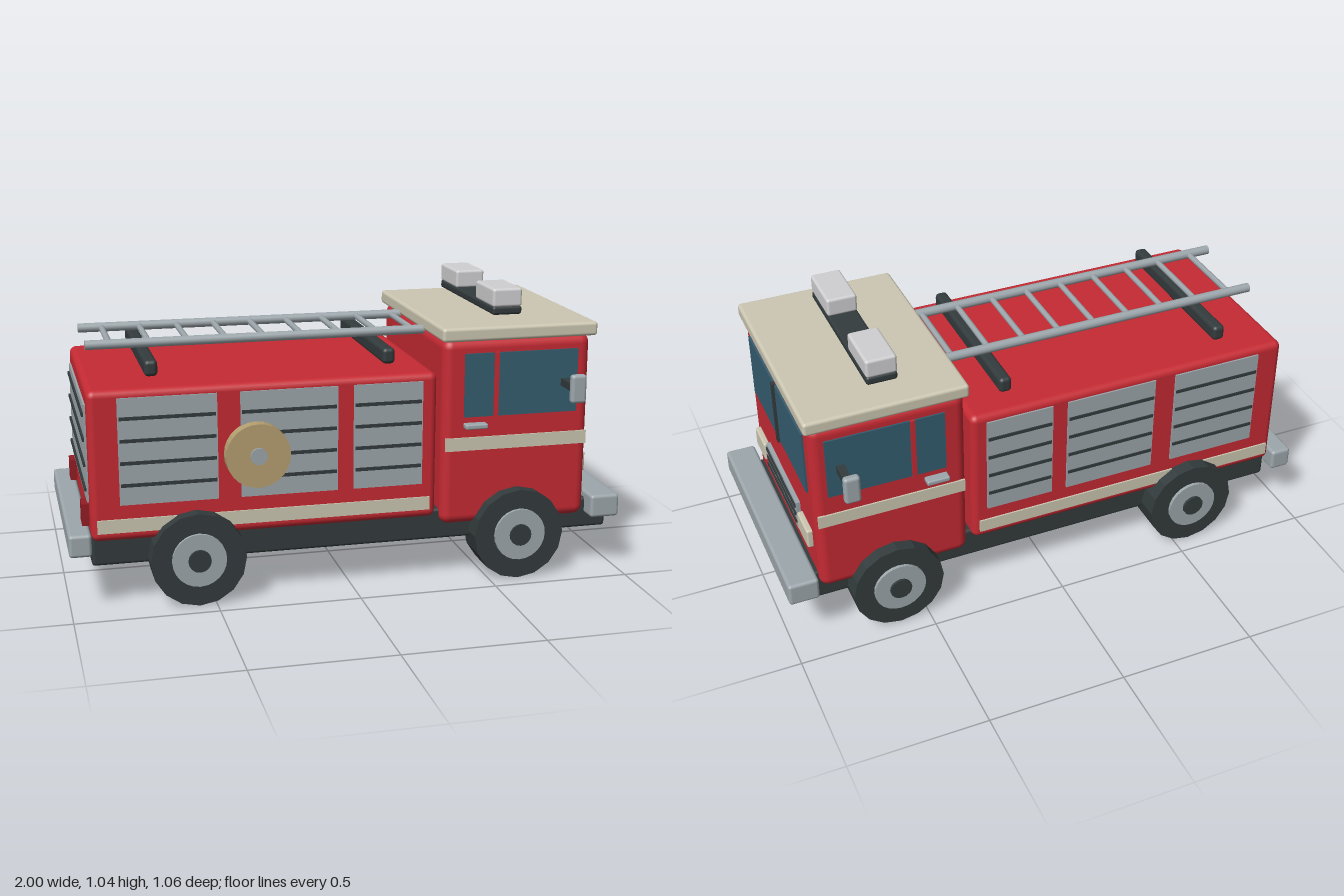
import * as THREE from 'three';
import { RoundedBoxGeometry } from 'three/addons/geometries/RoundedBoxGeometry.js';

const paint = (name, color) => {
  const m = new THREE.MeshStandardMaterial({ color });
  m.name = name;
  return m;
};

export function createModel() {
  const red = paint('red paint', 0xc62a33), cream = paint('cream paint', 0xccc7b2);
  const dark = paint('dark rubber', 0x333b3c), metal = paint('grey metal', 0x9da7ac);
  const glass = paint('blue glass', 0x345d70), lamp = paint('pale lamp', 0xd0d0d2);
  const tan = paint('tan hose', 0xb59f70), tail = paint('tail lamp red', 0x941c24);

  const truck = new THREE.Group();
  truck.name = 'fireTruck';

  const add = (parent, name, geometry, material) => {
    const mesh = new THREE.Mesh(geometry, material);
    mesh.name = name;
    parent.add(mesh);
    return mesh;
  };
  // Box given by its extents; a radius rounds the edges
  const box = (parent, name, mat, [x0, x1], [y0, y1], [z0, z1], r = 0) => {
    const s = [x1 - x0, y1 - y0, z1 - z0];
    const g = r ? new RoundedBoxGeometry(...s, 3, r) : new THREE.BoxGeometry(...s);
    add(parent, name, g, mat).position.set((x0 + x1) / 2, (y0 + y1) / 2, (z0 + z1) / 2);
  };
  // Span along z on one side of the truck
  const side = (s, a, b) => (s > 0 ? [a, b] : [-b, -a]);
  // Disc with its axis along z, spanning a..b outwards
  const disc = (parent, name, mat, x, y, s, a, b, r, n) => {
    const g = new THREE.CylinderGeometry(r, r, b - a, n).toNonIndexed();
    g.computeVertexNormals();
    g.rotateX(Math.PI / 2);
    add(parent, name, g, mat).position.set(x, y, s * (a + b) / 2);
  };

  // Main masses
  box(truck, 'chassis', dark, [-0.92, 0.975], [0.145, 0.26], [-0.355, 0.355], 0.012);
  box(truck, 'equipmentBody', red, [-0.92, 0.305], [0.24, 0.772], [-0.385, 0.385], 0.025);
  box(truck, 'cab', red, [0.325, 0.875], [0.205, 0.885], [-0.388, 0.388], 0.035);
  box(truck, 'cabRoof', cream, [0.315, 0.892], [0.88, 0.93], [-0.405, 0.405], 0.012);
  box(truck, 'frontBumper', metal, [0.89, 1.0], [0.2, 0.285], [-0.42, 0.42], 0.012);
  box(truck, 'rearBumper', metal, [-1.0, -0.922], [0.2, 0.28], [-0.412, 0.412], 0.012);

  // Roof light bar
  box(truck, 'lightBar', dark, [0.53, 0.64], [0.95, 0.981], [-0.305, 0.305], 0.01);
  for (const s of [1, -1])
    box(truck, 'beacon', lamp, [0.53, 0.64], [0.978, 1.045], side(s, 0.11, 0.305), 0.01);

  for (const s of [1, -1]) {
    const half = new THREE.Group();
    half.name = s > 0 ? 'rightFlank' : 'leftFlank';
    truck.add(half);

    // Wheels
    for (const x of [-0.56, 0.607]) {
      disc(half, 'tyre', dark, x, 0.167, s, 0.305, 0.435, 0.167, 16);
      disc(half, 'rim', metal, x, 0.169, s, 0.42, 0.447, 0.095, 24);
      disc(half, 'hub', dark, x, 0.169, s, 0.43, 0.456, 0.04, 16);
    }

    // Roller shutters with dark slat gaps
    for (const [a, b] of [[-0.82, -0.48], [-0.4, -0.057], [0, 0.25]]) {
      box(half, 'sideShutter', metal, [a, b], [0.37, 0.745], side(s, 0.383, 0.391));
      for (let i = 0; i < 4; i++) {
        const y = 0.44 + i * 0.078;
        box(half, 'slatGap', dark, [a + 0.005, b - 0.005], [y - 0.006, y + 0.006], side(s, 0.388, 0.395));
      }
    }

    // Cream stripes
    box(half, 'bodyStripe', cream, [-0.9, 0.28], [0.272, 0.32], side(s, 0.383, 0.391));
    box(half, 'cabStripe', cream, [0.335, 0.867], [0.482, 0.53], side(s, 0.386, 0.394));

    // Door window, pillar and handle
    box(half, 'sideWindow', glass, [0.402, 0.825], [0.605, 0.835], side(s, 0.386, 0.394));
    box(half, 'windowPillar', red, [0.51, 0.527], [0.6, 0.837], side(s, 0.39, 0.399));
    box(half, 'doorHandle', metal, [0.4, 0.483], [0.566, 0.585], side(s, 0.387, 0.424), 0.006);

    // Wing mirror
    box(half, 'mirrorArm', dark, [0.762, 0.79], [0.702, 0.729], side(s, 0.38, 0.51));
    box(half, 'mirrorHead', metal, [0.748, 0.805], [0.667, 0.77], side(s, 0.502, 0.532), 0.012);

    // Windscreen panes, headlights and tail lamps
    box(half, 'windscreen', glass, [0.873, 0.882], [0.595, 0.835], side(s, 0.005, 0.325));
    box(half, 'headlight', cream, [0.87, 0.896], [0.355, 0.43], side(s, 0.21, 0.33), 0.008);
    box(half, 'tailLamp', tail, [-0.945, -0.915], [0.28, 0.358], side(s, 0.24, 0.31));
  }
  box(truck, 'windscreenBar', dark, [0.878, 0.89], [0.59, 0.837], [-0.011, 0.011]);

  // Grille
  box(truck, 'grille', metal, [0.87, 0.89], [0.335, 0.45], [-0.19, 0.19]);
  for (const y of [0.363, 0.397, 0.431])
    box(truck, 'grilleSlot', dark, [0.886, 0.895], [y - 0.006, y + 0.006], [-0.182, 0.182]);

  // Rear shutter
  box(truck, 'rearShutter', metal, [-0.927, -0.918], [0.37, 0.715], [-0.33, 0.33]);
  for (let i = 0; i < 4; i++) {
    const y = 0.415 + i * 0.088;
    box(truck, 'rearSlatGap', dark, [-0.934, -0.925], [y - 0.006, y + 0.006], [-0.325, 0.325]);
  }

  // Hose reel on one flank
  disc(truck, 'hoseReel', tan, -0.347, 0.525, 1, 0.385, 0.433, 0.113, 28);
  disc(truck, 'reelHub', metal, -0.347, 0.525, 1, 0.42, 0.442, 0.03, 16);

  // Ladder on two racks
  for (const x of [-0.692, 0.146])
    box(truck, 'ladderRack', dark, [x - 0.023, x + 0.023], [0.795, 0.852], [-0.315, 0.315], 0.015);
  for (const s of [1, -1]) {
    const rail = new THREE.CylinderGeometry(0.017, 0.017, 1.22, 12).rotateZ(Math.PI / 2);
    add(truck, 'ladderRail', rail, metal).position.set(-0.29, 0.882, s * 0.154);
  }
  for (let i = 0; i < 9; i++) {
    const rung = new THREE.CylinderGeometry(0.011, 0.011, 0.3, 10).rotateX(Math.PI / 2);
    add(truck, 'ladderRung', rung, metal).position.set(-0.815 + i * 0.137, 0.882, 0);
  }
  return truck;
}
